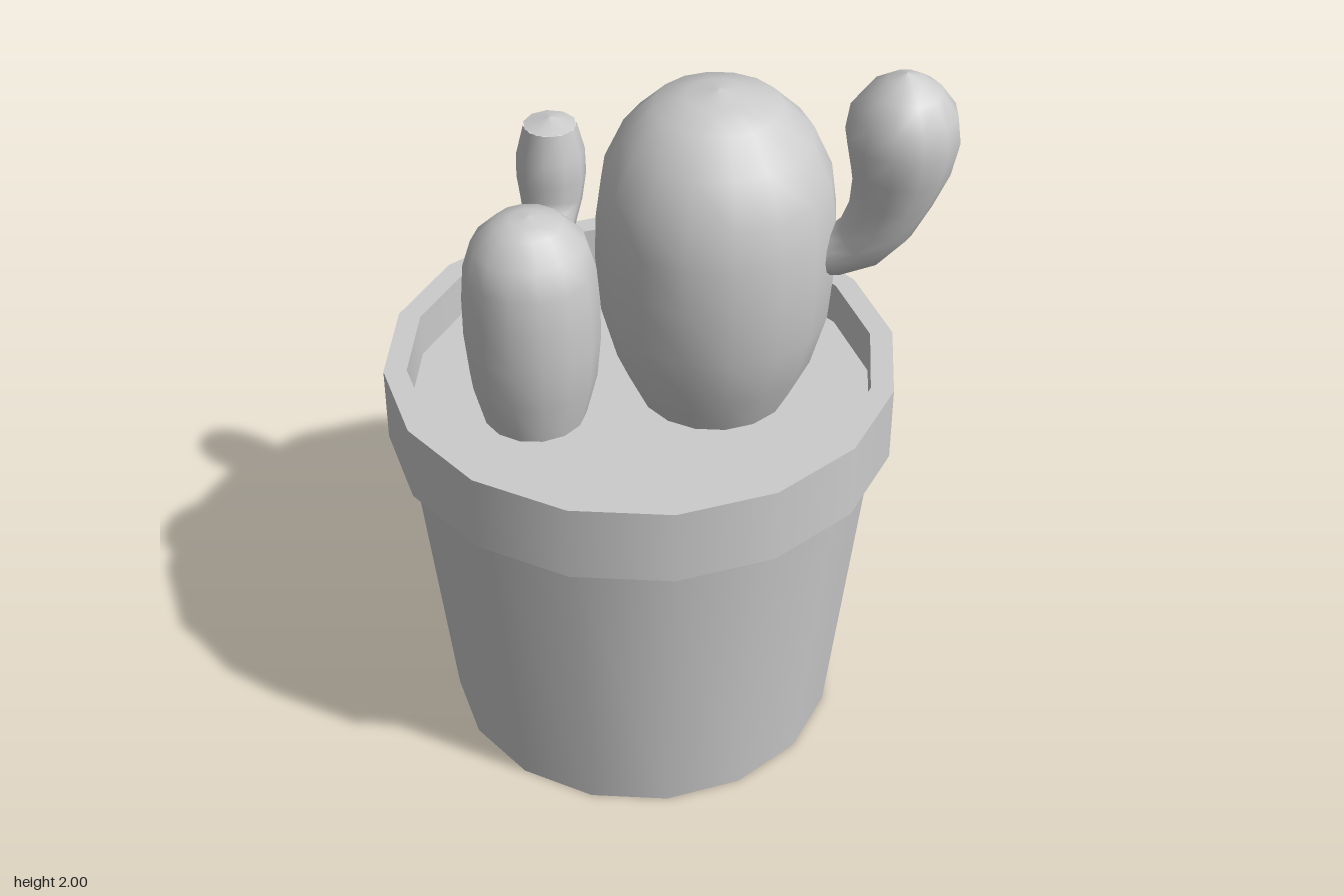
import * as THREE from 'three';

const material = new THREE.MeshStandardMaterial({ color: 0xcccccc });

function addMesh(parent, name, geometry) {
  const mesh = new THREE.Mesh(geometry, material);
  mesh.name = name;
  parent.add(mesh);
  return mesh;
}

// Turned surface from [radius, y] pairs, smooth along its profile
function lathe(profile, sides) {
  return new THREE.LatheGeometry(profile.map(([r, y]) => new THREE.Vector2(r, y)), sides);
}

// Round limb bending in the local x-y plane, from [x, y, radius] stations
function limb(stations, sides) {
  const positions = [];
  const indices = [];
  stations.forEach(([x, y, r], i) => {
    const a = stations[Math.max(i - 1, 0)];
    const b = stations[Math.min(i + 1, stations.length - 1)];
    const t = new THREE.Vector2(b[0] - a[0], b[1] - a[1]).normalize();
    for (let j = 0; j < sides; j++) {
      const angle = (j / sides) * Math.PI * 2;
      const n = Math.cos(angle) * r;
      positions.push(x + t.y * n, y - t.x * n, -Math.sin(angle) * r);
      if (i === 0) continue;
      const k = (j + 1) % sides;
      const low = (i - 1) * sides;
      const high = i * sides;
      indices.push(low + j, low + k, high + k, low + j, high + k, high + j);
    }
  });
  const geometry = new THREE.BufferGeometry();
  geometry.setAttribute('position', new THREE.Float32BufferAttribute(positions, 3));
  geometry.setIndex(indices);
  geometry.computeVertexNormals();
  return geometry;
}

export function createModel() {
  const model = new THREE.Group();
  model.name = 'pottedCactus';

  // Pot: each section is its own surface, so the edges between them stay sharp
  const pot = new THREE.Group();
  pot.name = 'pot';
  pot.position.x = -0.055;
  model.add(pot);
  const sections = {
    potBase: [[0, 0], [0.53, 0]],
    potWall: [[0.53, 0], [0.625, 0.91]],
    rimUnderside: [[0.62, 0.91], [0.67, 0.91]],
    rimOutside: [[0.67, 0.91], [0.67, 1.12]],
    rimTop: [[0.67, 1.12], [0.61, 1.12]],
    rimInside: [[0.61, 1.12], [0.61, 1.0]],
    soil: [[0.61, 1.0], [0, 1.0]],
  };
  for (const [name, profile] of Object.entries(sections)) {
    addMesh(pot, name, lathe(profile, 16));
  }

  // Large cactus body
  addMesh(model, 'largeCactus', lathe([
    [0.19, 0.98], [0.255, 1.12], [0.295, 1.27], [0.308, 1.43], [0.305, 1.55],
    [0.29, 1.66], [0.24, 1.77], [0.16, 1.85], [0.08, 1.875], [0, 1.89],
  ], 16)).position.set(0.125, 0, -0.068);

  // Small cactus body
  addMesh(model, 'smallCactus', lathe([
    [0.13, 0.98], [0.165, 1.12], [0.176, 1.24], [0.176, 1.35], [0.168, 1.45],
    [0.145, 1.525], [0.09, 1.58], [0.045, 1.593], [0, 1.6],
  ], 14)).position.set(-0.297, 0, 0.163);

  // Club-shaped arm on the large cactus
  addMesh(model, 'largeArm', limb([
    [0.36, 1.455, 0.055], [0.43, 1.475, 0.062], [0.495, 1.52, 0.075],
    [0.54, 1.59, 0.088], [0.565, 1.67, 0.103], [0.578, 1.75, 0.125],
    [0.58, 1.83, 0.14], [0.58, 1.9, 0.13], [0.58, 1.955, 0.09],
    [0.58, 1.985, 0.045], [0.58, 2.0, 0],
  ], 12)).position.z = -0.068;

  // Blunt arm growing backwards from the small cactus
  const smallArm = new THREE.Group();
  smallArm.name = 'smallArm';
  smallArm.position.set(-0.33, 0, 0.1);
  smallArm.rotation.y = Math.PI / 2 + 0.09;
  model.add(smallArm);
  addMesh(smallArm, 'smallArmStem', limb([
    [0, 1.33, 0.042], [0.1, 1.325, 0.045], [0.21, 1.325, 0.055],
    [0.285, 1.35, 0.068], [0.325, 1.41, 0.082], [0.332, 1.48, 0.092],
    [0.332, 1.55, 0.09], [0.332, 1.63, 0.07],
  ], 10));
  addMesh(smallArm, 'smallArmTip', lathe([[0.07, 1.63], [0, 1.65]], 10)).position.x = 0.332;

  return model;
}
